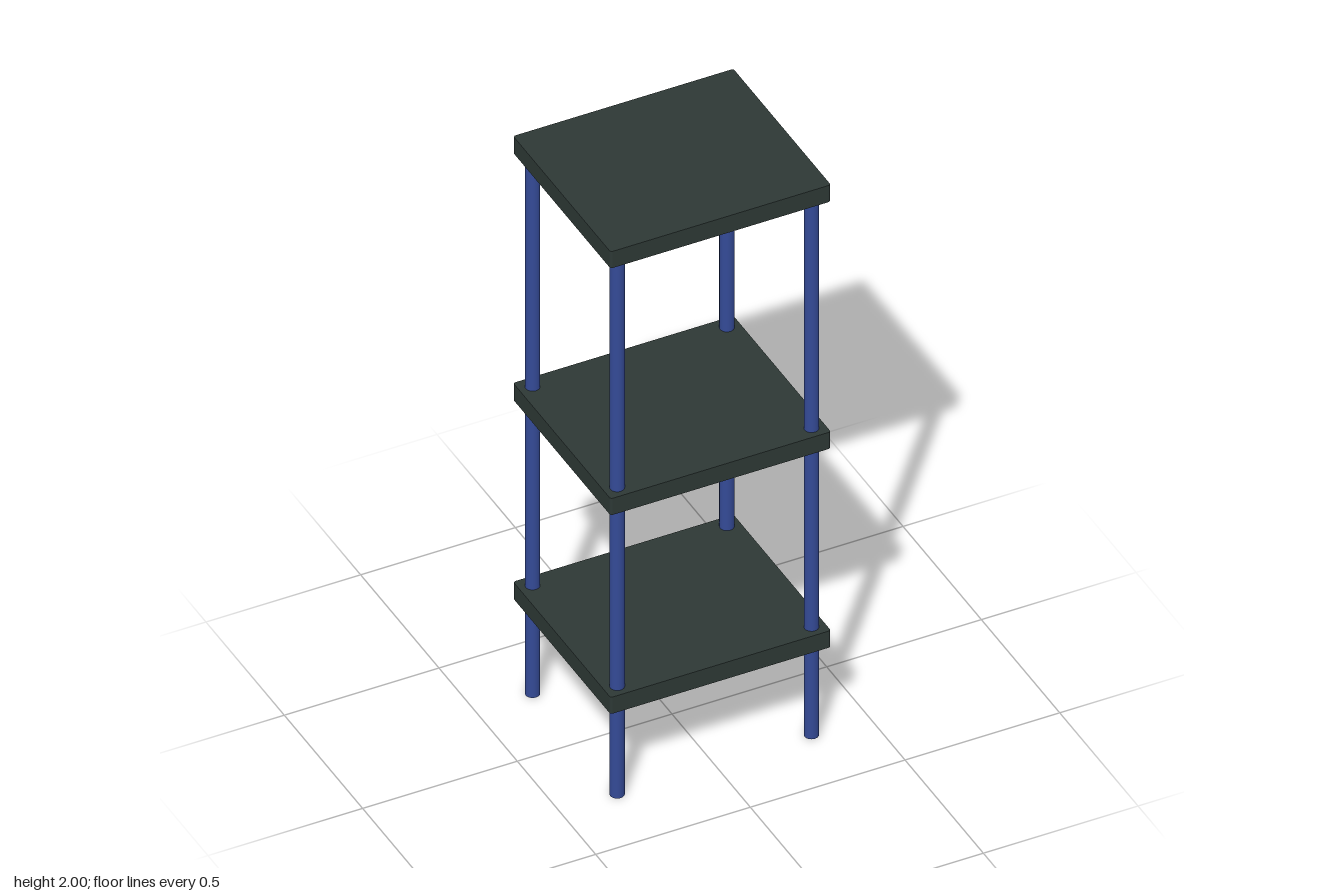
import * as THREE from 'three';
import { mergeVertices } from 'three/addons/utils/BufferGeometryUtils.js';

const WIDTH = 0.712, DEPTH = 0.622, THICKNESS = 0.06, CORNER = 0.008;
const LEG_X = 0.314, LEG_Z = 0.27, LEG_RADIUS = 0.022, LEG_HEIGHT = 1.95;

// Flat board with slightly rounded upright corners, its underside at y = 0
function boardGeometry() {
  const x = WIDTH / 2, z = DEPTH / 2, r = CORNER;
  const outline = new THREE.Shape();
  outline.absarc(x - r, z - r, r, 0, Math.PI / 2);
  outline.absarc(-x + r, z - r, r, Math.PI / 2, Math.PI);
  outline.absarc(-x + r, -z + r, r, Math.PI, Math.PI * 1.5);
  outline.absarc(x - r, -z + r, r, Math.PI * 1.5, Math.PI * 2);
  outline.closePath();
  const geometry = new THREE.ExtrudeGeometry(outline, {
    depth: THICKNESS, bevelEnabled: false, curveSegments: 4,
  });
  return geometry.rotateX(-Math.PI / 2);
}

// Round leg whose normals are smoothed over the end caps
function legGeometry() {
  const geometry = new THREE.CylinderGeometry(LEG_RADIUS, LEG_RADIUS, LEG_HEIGHT, 24);
  geometry.deleteAttribute('normal');
  geometry.deleteAttribute('uv');
  const smooth = mergeVertices(geometry, 1e-5);
  smooth.computeVertexNormals();
  return smooth.translate(0, LEG_HEIGHT / 2, 0);
}

export function createModel() {
  const model = new THREE.Group();
  model.name = 'shelfUnit';

  const boardMaterial = new THREE.MeshStandardMaterial({ color: 0x2d3835 });
  boardMaterial.name = 'dark slate';
  const legMaterial = new THREE.MeshStandardMaterial({ color: 0x344a96 });
  legMaterial.name = 'blue';

  // Three boards, bottom to top
  const board = boardGeometry();
  const levels = { lowerShelf: 0.33, middleShelf: 1.048, topShelf: 1.94 };
  for (const [name, y] of Object.entries(levels)) {
    const shelf = new THREE.Mesh(board, boardMaterial);
    shelf.name = name;
    shelf.position.y = y;
    model.add(shelf);
  }

  // Four legs running through the boards
  const leg = legGeometry();
  for (const [sideName, sx] of [['Left', 1], ['Right', -1]]) {
    for (const [endName, sz] of [['front', 1], ['back', -1]]) {
      const mesh = new THREE.Mesh(leg, legMaterial);
      mesh.name = `${endName}${sideName}Leg`;
      mesh.position.set(sx * LEG_X, 0, sz * LEG_Z);
      model.add(mesh);
    }
  }
  return model;
}
